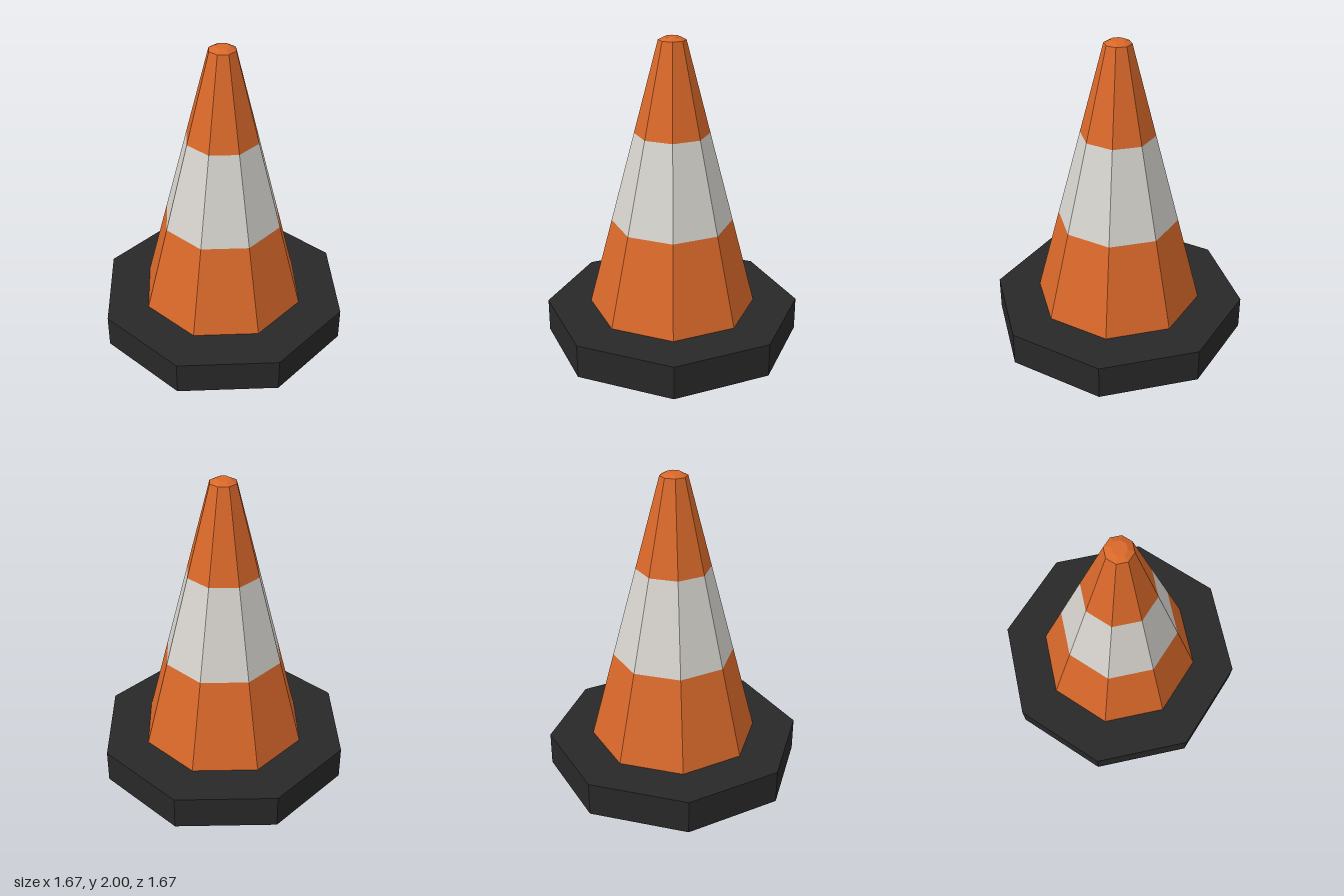
import * as THREE from 'three';

const SIDES = 8;

export function createModel() {
  const group = new THREE.Group();
  group.name = 'trafficCone';

  const orange = new THREE.MeshStandardMaterial({ color: 0xd9682a, flatShading: true });
  orange.name = 'orange plastic';
  const white = new THREE.MeshStandardMaterial({ color: 0xd6d3cd, flatShading: true });
  white.name = 'off-white band';
  const black = new THREE.MeshStandardMaterial({ color: 0x282828, flatShading: true });
  black.name = 'black rubber';

  // Eight-sided section between two heights, with corners on the x and z axes
  function section(name, y0, r0, y1, r1, material, open = true) {
    const geometry = new THREE.CylinderGeometry(r1, r0, y1 - y0, SIDES, 1, open);
    geometry.translate(0, (y0 + y1) / 2, 0);
    const mesh = new THREE.Mesh(geometry, material);
    mesh.name = name;
    group.add(mesh);
  }

  // Heavy foot
  section('base', 0, 0.835, 0.22, 0.835, black, false);

  // Tapering body, in coloured bands
  section('lowerBody', 0.22, 0.547, 0.805, 0.394, orange);
  section('reflectiveBand', 0.805, 0.394, 1.395, 0.24, white);
  section('upperBody', 1.395, 0.24, 1.98, 0.087, orange);

  // Bevelled tip with a flat top
  section('tip', 1.98, 0.087, 2, 0.047, orange, false);

  return group;
}
